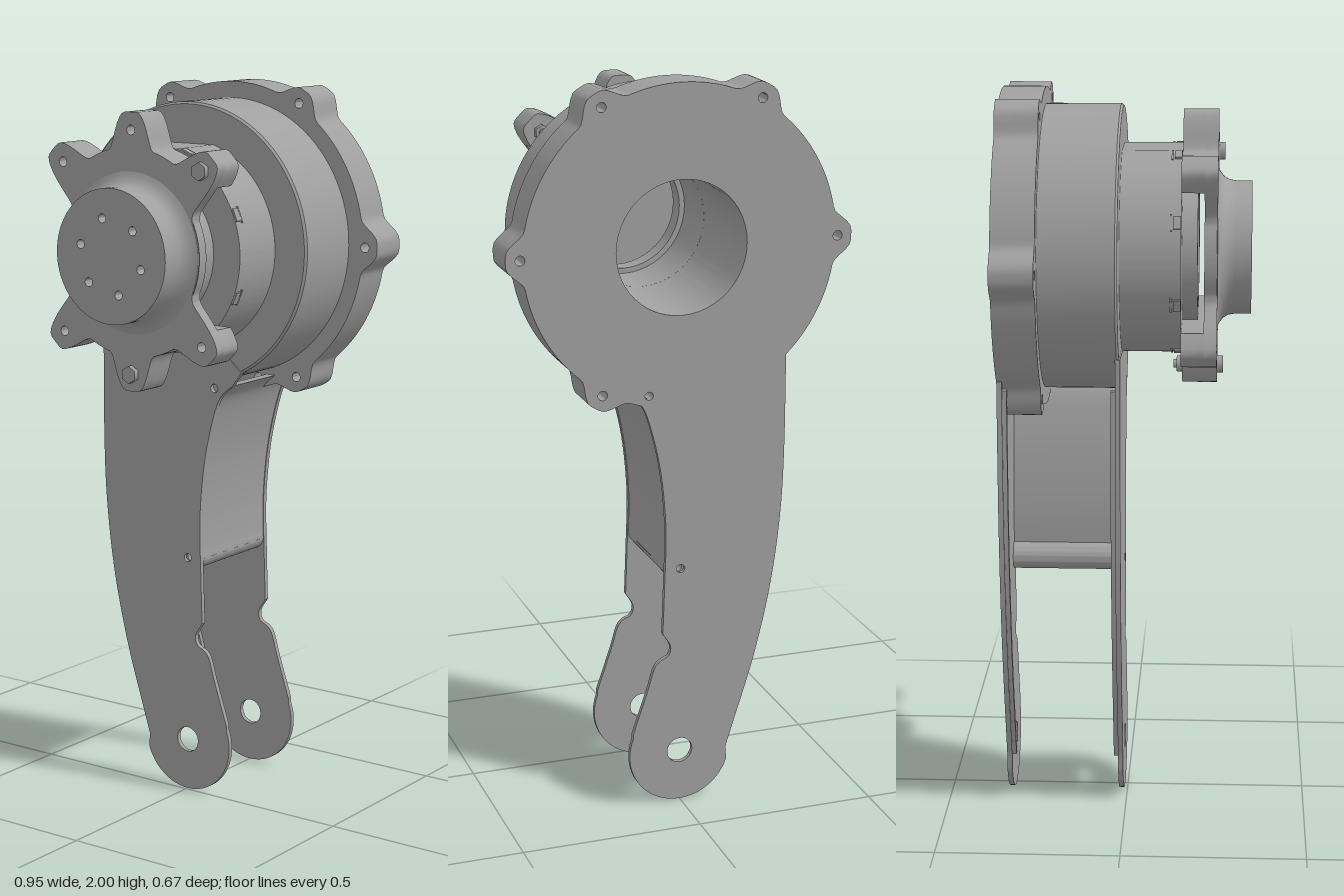
import * as THREE from 'three';
import { toCreasedNormals } from 'three/addons/utils/BufferGeometryUtils.js';

const CY = 1.57; // height of the drive axis

export function createModel() {
  const model = new THREE.Group();
  model.name = 'actuatorLeg';
  const grey = new THREE.MeshStandardMaterial({ color: 0xa0a0a0 });
  grey.name = 'machined grey';

  const add = (name, geo, x = 0, y = 0, z = 0) => {
    const mesh = new THREE.Mesh(geo, grey);
    mesh.name = name;
    mesh.position.set(x, y, z);
    model.add(mesh);
    return mesh;
  };
  const smooth = THREE.MathUtils.smoothstep;
  const polar = (r, a) => [r * Math.cos(a), r * Math.sin(a)];
  const vec = (list) => list.map(([x, y]) => new THREE.Vector2(x, y));

  // Shape from points, with round holes given as [x, y, radius]
  const shapeOf = (points, holes = []) => {
    const shape = new THREE.Shape(vec(points));
    for (const [x, y, r] of holes) {
      shape.holes.push(new THREE.Path().absarc(x, y, r, 0, Math.PI * 2, true));
    }
    return shape;
  };
  const extrude = (name, shape, z0, z1, y = 0) => {
    const geo = new THREE.ExtrudeGeometry(shape, { depth: z1 - z0, bevelEnabled: false, curveSegments: 24 });
    return add(name, toCreasedNormals(geo, 0.6), 0, y, z0);
  };
  const outline = (radius, n = 240) => {
    const pts = [];
    for (let i = 0; i < n; i++) {
      const a = (i / n) * Math.PI * 2;
      pts.push(polar(radius(a), a));
    }
    return pts;
  };
  // Radius of a disc that swells into rounded lugs
  const lugged = (base, tip, angles, w0, w1) => (a) => {
    let k = 0;
    for (const b of angles) {
      const d = Math.abs(Math.atan2(Math.sin(a - b), Math.cos(a - b))) * tip;
      k = Math.max(k, 1 - smooth(d, w0, w1));
    }
    return base(a) + (tip - base(a)) * k;
  };
  const cylinder = (name, r, z0, z1, x, y, sides = 24) =>
    add(name, new THREE.CylinderGeometry(r, r, z1 - z0, sides).rotateX(Math.PI / 2), x, y, (z0 + z1) / 2);

  // Rear flange with six lugs
  const six = [0, 1, 2, 3, 4, 5].map((i) => (i * Math.PI) / 3);
  const flangeHoles = six.map((a) => [...polar(0.436, a), 0.013]);
  extrude('rearFlange',
    shapeOf(outline(lugged(() => 0.43, 0.475, six, 0.015, 0.085)),
      [[0, 0, 0.18], [0.09, -0.39, 0.012], ...flangeHoles]), -0.335, -0.22, CY);

  // Round gear housing with softened front rim
  const housing = new THREE.LatheGeometry(vec([
    [0.18, -0.23], [0.385, -0.23], [0.385, -0.018], [0.379, -0.012], [0.18, -0.012], [0.18, -0.23],
  ]), 96).rotateX(Math.PI / 2).scale(1, 1, 1);
  // Lathe axis y becomes z
  add('gearHousing', toCreasedNormals(housing, 0.6), 0, CY, 0);

  // Motor body, flattened at top and bottom
  const flats = outline(() => 0.285).map(([x, y]) => [x, THREE.MathUtils.clamp(y, -0.273, 0.273)]);
  extrude('motorBody', shapeOf(flats, [[0, 0, 0.18]]), -0.014, 0.15, CY);
  extrude('innerRing', shapeOf(outline(() => 0.2), [[0, 0, 0.165]]), 0.14, 0.192, CY);

  // Clip tabs round the motor rim
  for (let i = 0; i < 8; i++) {
    const a = Math.PI / 8 + (i * Math.PI) / 4;
    const [x, y] = polar(0.279, a);
    add('clipTab', new THREE.BoxGeometry(0.022, 0.035, 0.02), x, CY + y, 0.139).rotation.z = a;
    add('clipBar', new THREE.BoxGeometry(0.018, 0.045, 0.005), x, CY + y, 0.123).rotation.z = a;
  }

  // Front cover: lugged plate, with thick upper and lower blocks leaving the sides open
  const lugAngles = [1, 2, 3, 5, 6, 7].map((i) => (i * Math.PI) / 4);
  const coverRadius = lugged(
    (a) => 0.22 + 0.06 * smooth(Math.abs(Math.sin(a)), 0.4, 0.75), 0.372, lugAngles, 0.02, 0.1);
  const coverOutline = outline(coverRadius);
  const coverHoles = lugAngles.map((a) => [...polar(0.325, a), 0.013]);
  extrude('coverPlate', shapeOf(coverOutline, coverHoles), 0.21, 0.245, CY);
  for (const side of [1, -1]) {
    extrude('coverBlock',
      shapeOf(coverOutline.filter(([, y]) => y * side > 0.172), coverHoles.filter(([, y]) => y * side > 0)),
      0.15, 0.212, CY);
  }

  // Bolts with hex heads and nuts
  for (const a of [Math.PI / 4, -Math.PI / 2]) {
    const [x, y] = polar(0.325, a);
    cylinder('boltHead', 0.024, 0.243, 0.261, x, CY + y, 6);
    cylinder('boltShank', 0.012, 0.125, 0.25, x, CY + y, 16);
    cylinder('boltNut', 0.022, 0.134, 0.152, x, CY + y, 6);
  }

  // Output hub with flared foot and six threaded holes
  const hub = new THREE.LatheGeometry(vec([
    [0.222, 0.243], [0.205, 0.249], [0.191, 0.26], [0.183, 0.274], [0.18, 0.29], [0.18, 0.325],
  ]), 96).rotateX(Math.PI / 2);
  add('hubFlare', hub, 0, CY, 0);
  const hubHoles = six.map((a) => [...polar(0.103, a + 1.83), 0.012]);
  extrude('hubFace', shapeOf(outline(() => 0.18, 96), hubHoles), 0.3, 0.335, CY);

  // Leg outline: curved outer edge, round foot, notched inner edge
  const outer = new THREE.SplineCurve(vec([
    [-0.295, 1.32], [-0.295, 1.0], [-0.286, 0.8], [-0.26, 0.6], [-0.215, 0.4], [-0.16, 0.22], [-0.135, 0.14],
  ])).getPoints(36).map((p) => [p.x, p.y]);
  const foot = [];
  for (let i = 0; i <= 30; i++) {
    const [x, y] = polar(0.145, Math.PI * 1.1 + (i / 30) * Math.PI * 1.02);
    foot.push([x, y + 0.148]);
  }
  const notch = new THREE.SplineCurve(vec([
    [0.135, 0.215], [0.093, 0.34], [0.075, 0.4], [0.058, 0.422], [0.034, 0.435], [0.028, 0.463], [0.05, 0.5],
  ])).getPoints(36).map((p) => [p.x, p.y]);
  const inner = new THREE.SplineCurve(vec([
    [0.045, 0.65], [0.042, 0.8], [0.055, 0.95], [0.08, 1.07], [0.108, 1.15], [0.15, 1.19],
  ])).getPoints(30).map((p) => [p.x, p.y]);
  const legPoints = [...outer, ...foot, ...notch, ...inner, [0.18, 1.23], [0.1, 1.3]];
  const leg = shapeOf(legPoints, [[0, 0.15, 0.036], [0, 0.685, 0.012], [0.09, 1.178, 0.012]]);
  extrude('frontLegPlate', leg, -0.022, -0.008);
  extrude('rearLegPlate', leg, -0.335, -0.321);

  // Stiffening lips on the inside of the outer edges
  const lipEdge = outer.slice(2);
  const lip = shapeOf([...lipEdge.map(([x, y]) => [x + 0.004, y]),
    ...lipEdge.map(([x, y]) => [x + 0.024, y]).reverse()]);
  extrude('frontLip', lip, -0.034, -0.02);
  extrude('rearLip', lip, -0.323, -0.309);

  // Web joining the two plates along the inner edge, ending in a round boss
  const web = shapeOf([...inner.map(([x, y]) => [x - 0.002, Math.max(y, 0.685)]),
    ...inner.map(([x, y]) => [x - 0.032, Math.max(y, 0.685)]).reverse()]);
  extrude('legWeb', web, -0.325, -0.018);
  const boss = extrude('webBoss', shapeOf(outline(() => 0.037, 40), [[0, 0, 0.012]]), -0.325, -0.018, 0.687);
  boss.position.x = 0.005;

  return model;
}
